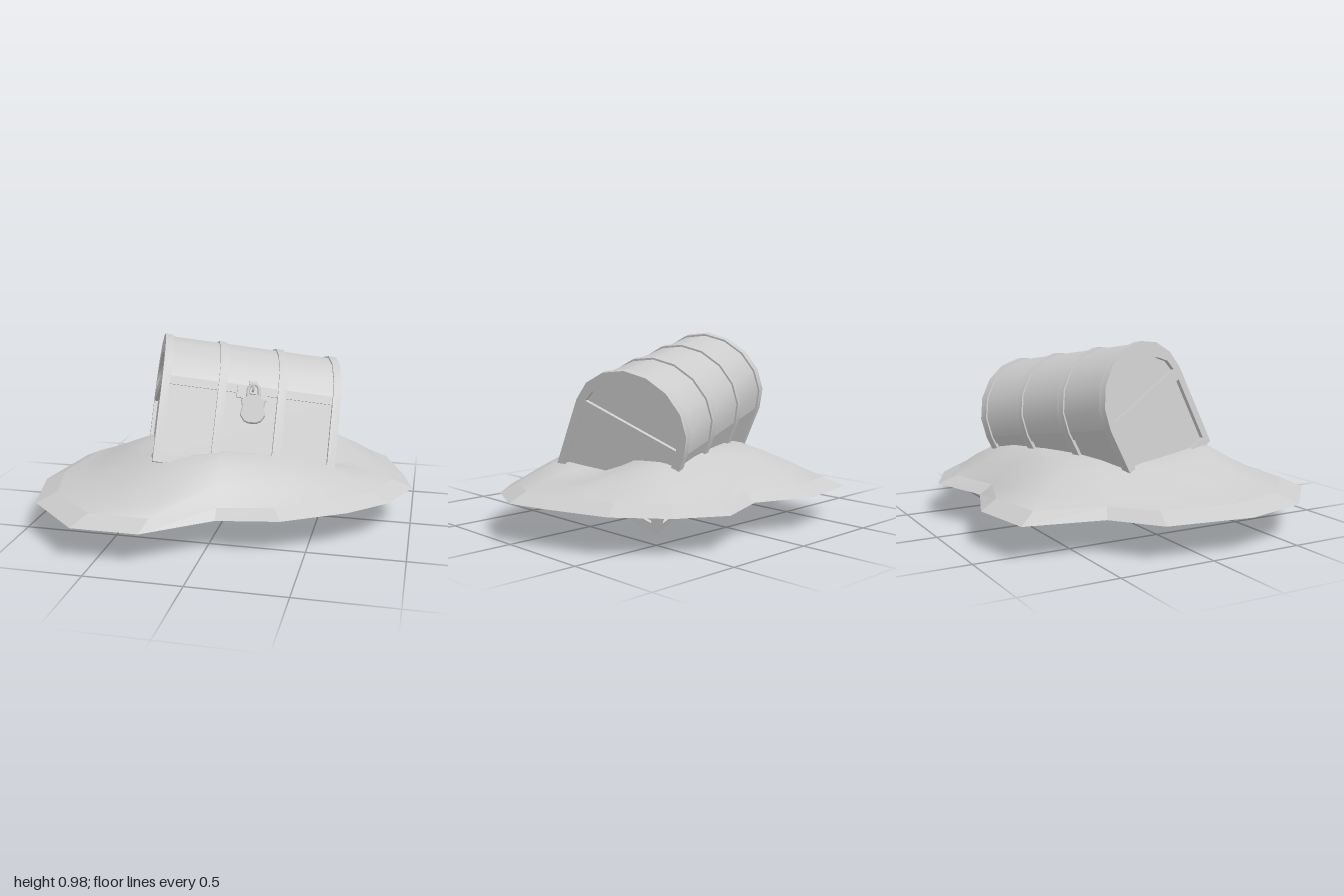
import * as THREE from 'three';
import { toCreasedNormals } from 'three/addons/utils/BufferGeometryUtils.js';

const LEN = 0.957, DEPTH = 0.64, H = 0.46, RISE = 0.285, BAND = 0.043;
const PANEL = 0.018, LID_INSET = 0.01;
const grey = new THREE.MeshStandardMaterial({ color: 0xcccccc });
const greyBoth = new THREE.MeshStandardMaterial({ color: 0xcccccc, side: THREE.DoubleSide });

function add(group, name, geometry, x = 0, y = 0, z = 0, material = grey) {
  const mesh = new THREE.Mesh(geometry, material);
  mesh.name = name;
  mesh.position.set(x, y, z);
  group.add(mesh);
  return mesh;
}

// Half-ellipse of the lid in eight straight steps, from +side to -side
function arc(side, top, base = 0) {
  const pts = [];
  for (let i = 0; i <= 8; i++) {
    const a = (i / 8) * Math.PI;
    pts.push(new THREE.Vector2(Math.cos(a) * (DEPTH / 2 - side),
      H + base + Math.sin(a) * (RISE - top - base)));
  }
  return pts;
}

// Cross-section of the whole chest
function section() {
  const w = DEPTH / 2;
  return new THREE.Shape([new THREE.Vector2(-w, 0), new THREE.Vector2(w, 0), ...arc(0, 0)]);
}

// Extrude a cross-section along the length of the chest, centred
function along(shape, length) {
  const g = new THREE.ExtrudeGeometry(shape, { depth: length, bevelEnabled: false });
  g.translate(0, 0, -length / 2);
  g.rotateY(Math.PI / 2);
  return toCreasedNormals(g, 0.6);
}

function buildChest() {
  const chest = new THREE.Group();
  chest.name = 'chest';
  add(chest, 'basePanels', new THREE.BoxGeometry(LEN - 0.04, H - PANEL, DEPTH - 2 * PANEL), 0, (H + PANEL) / 2, 0);
  add(chest, 'lid', along(new THREE.Shape(arc(LID_INSET, LID_INSET)), LEN - 0.04));

  // End frames with a square panel opening and an arched one
  const frame = section();
  const w = DEPTH / 2 - 0.045;
  frame.holes.push(new THREE.Path([[-w, 0.05], [-w, H - 0.045], [w, H - 0.045], [w, 0.05]]
    .map(p => new THREE.Vector2(...p))));
  frame.holes.push(new THREE.Path(arc(0.05, 0.105, 0.018).reverse()));
  for (const s of [-1, 1]) {
    add(chest, 'endFrame', along(frame, BAND), s * (LEN - BAND) / 2);
    add(chest, 'middleBand', along(section(), BAND), s * LEN / 6);
    // Rails along the lower edge and the rim of the base
    add(chest, 'bottomRail', new THREE.BoxGeometry(LEN - 0.01, 0.05, 0.048), 0, 0.026, s * (DEPTH / 2 - 0.025));
    add(chest, 'baseRim', new THREE.BoxGeometry(LEN - 0.01, 0.045, 0.048), 0, H - 0.0225,
      s * (DEPTH / 2 - 0.024 - LID_INSET));
  }
  chest.add(buildLock());

  // Tilted back and turned, half sunk in the sand
  const right = new THREE.Vector3(0.94, -0.157, -0.3).normalize();
  const front = right.clone().cross(new THREE.Vector3(0.01, 0.9, -0.44)).normalize();
  const up = front.clone().cross(right);
  chest.quaternion.setFromRotationMatrix(new THREE.Matrix4().makeBasis(right, up, front));
  chest.position.set(0.037, 0.207, 0.05);
  return chest;
}

function buildLock() {
  const lock = new THREE.Group();
  lock.name = 'lock';
  lock.position.set(0, H, DEPTH / 2);
  // Bracket on the base rim and a narrow hasp folded down from the lid
  for (const s of [-1, 1])
    add(lock, 'bracket', new THREE.BoxGeometry(0.045, 0.06, 0.016), s * 0.058, -0.04, -0.006);
  add(lock, 'bracketBar', new THREE.BoxGeometry(0.16, 0.025, 0.014), 0, -0.06, -0.006);
  add(lock, 'hasp', new THREE.BoxGeometry(0.04, 0.07, 0.016), 0, -0.01, -0.002);
  const staple = add(lock, 'staple', new THREE.TorusGeometry(0.018, 0.006, 6, 12), 0, -0.015, 0.012);
  staple.rotation.y = Math.PI / 2;

  // Hanging padlock: shield body and shackle
  const padlock = new THREE.Group();
  padlock.name = 'padlock';
  const half = [[0.025, 0], [0.042, -0.012], [0.06, -0.022], [0.053, -0.06], [0.062, -0.1], [0.042, -0.13], [0.02, -0.14]];
  const outline = [...half, ...half.map(([x, y]) => [-x, y]).reverse()].reverse();
  const body = new THREE.ExtrudeGeometry(new THREE.Shape(outline.map(p => new THREE.Vector2(...p))),
    { depth: 0.022, bevelEnabled: true, bevelSize: 0.004, bevelThickness: 0.005, bevelSegments: 1 });
  add(padlock, 'padlockBody', body, 0, 0, -0.011);
  const path = new THREE.CatmullRomCurve3([[-0.029, -0.02], [-0.029, 0.03], [-0.02, 0.055], [0, 0.064],
    [0.02, 0.055], [0.029, 0.03], [0.029, -0.02]].map(([x, y]) => new THREE.Vector3(x, y, 0)));
  add(padlock, 'shackle', new THREE.TubeGeometry(path, 20, 0.009, 8));
  padlock.position.set(0.005, -0.06, 0.02);
  padlock.rotation.set(0, -0.2, 0.05);
  lock.add(padlock);
  return lock;
}

// Edge of the sand as x, z pairs
const EDGE = [[1, 0], [0.89, 0.24], [0.7, 0.41], [0.38, 0.58], [0.06, 0.62], [-0.26, 0.86], [-0.61, 0.86],
  [-0.91, 0.58], [-1, 0.23], [-0.93, -0.22], [-0.7, -0.4], [-0.61, -0.8], [-0.26, -0.86], [0.06, -0.74],
  [0.37, -0.86], [0.62, -0.74], [0.83, -0.53], [0.95, -0.2]];

// Falling profile from the middle to the edge, plus mounds and hollows
function sandHeight(s, x, z) {
  const steps = [[0, 0.4], [0.45, 0.4], [0.6, 0.36], [0.75, 0.295], [0.9, 0.225], [1, 0.178]];
  let i = 1;
  while (i < steps.length - 1 && s > steps[i][0]) i++;
  const [a, b] = [steps[i - 1], steps[i]];
  const y = THREE.MathUtils.mapLinear(s, a[0], b[0], a[1], b[1]) + 0.025 * Math.max(x, 0);
  const bump = (cx, cz, r, h) => h * Math.exp(-((x - cx) ** 2 + (z - cz) ** 2) / (r * r));
  return s > 0.89 ? y : y + bump(0.08, 0.4, 0.17, 0.07) + bump(-0.22, 0.42, 0.14, 0.035)
    + bump(0.1, -0.47, 0.2, 0.02) + bump(0.52, -0.45, 0.18, 0.04) - bump(0.55, -0.1, 0.17, 0.1)
    - bump(-0.65, 0.15, 0.28, 0.035) - bump(-0.45, 0.62, 0.18, 0.02);
}

// Surface between rings that are scaled copies of the edge, from inner to outer
function sandRings(scales) {
  const n = EDGE.length, pos = [], index = [];
  scales.forEach((s, r) => EDGE.forEach(([ex, ez], k) => {
    const [p, q] = [EDGE[(k + n - 1) % n], EDGE[(k + 1) % n]];
    // Inner rings lose the notches of the edge
    const t = Math.min(1, (1 - s) * 1.3) * 0.5;
    const x = s * (ex * (1 - t) + t * (p[0] + q[0]) / 2);
    const z = s * (ez * (1 - t) + t * (p[1] + q[1]) / 2);
    pos.push(x, sandHeight(s, x, z), z);
    if (r > 0) {
      const a = (r - 1) * n + k, b = (r - 1) * n + (k + 1) % n;
      index.push(a, b + n, b, a, a + n, b + n);
    }
  }));
  const g = new THREE.BufferGeometry();
  g.setAttribute('position', new THREE.Float32BufferAttribute(pos, 3));
  g.setIndex(index);
  g.computeVertexNormals();
  return g;
}

function buildSand() {
  const sand = new THREE.Group();
  sand.name = 'sand';
  add(sand, 'sandMound', sandRings([0.02, 0.25, 0.4, 0.5, 0.6, 0.7, 0.8, 0.9]), 0, 0, 0, greyBoth);
  // Faceted rim
  const rim = sandRings([0.9, 1]).toNonIndexed();
  rim.computeVertexNormals();
  add(sand, 'sandRim', rim, 0, 0, 0, greyBoth);
  return sand;
}

export function createModel() {
  const model = new THREE.Group();
  model.name = 'sunkenChest';
  model.add(buildSand(), buildChest());
  return model;
}
